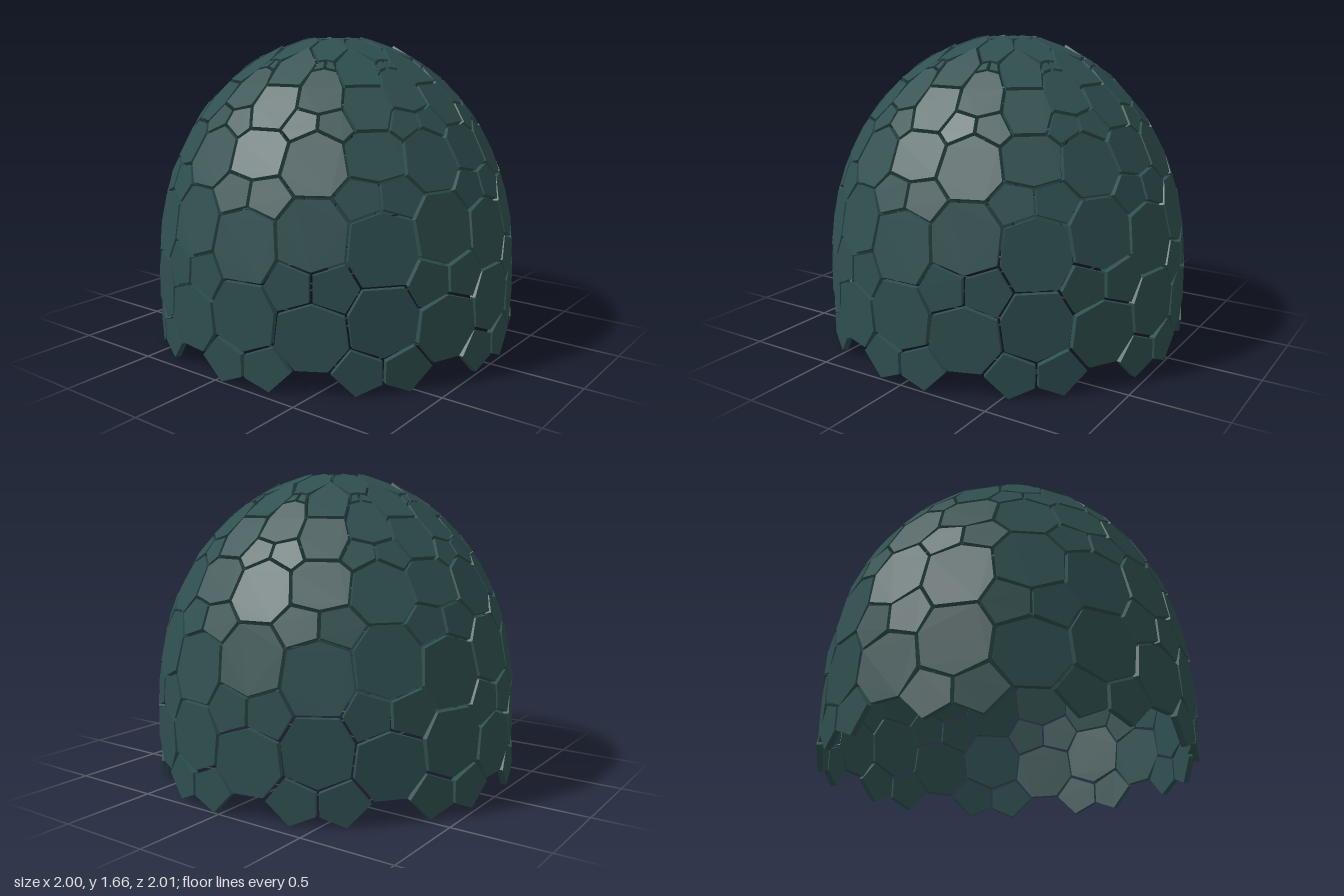
import * as THREE from 'three';

const SECTORS = 9;         // the tiling repeats every 40 degrees
const THICKNESS = 0.03;
const INSET = 0.009;       // half the gap between neighbouring panels
const BASE = 0.45, RISE = 1.23;

// Dome profile: straight wall below, elliptical crown above
const radiusAt = y => y < BASE ? 1 : Math.sqrt(Math.max(0, 1 - ((y - BASE) / RISE) ** 2));
const heightAt = r => BASE + RISE * Math.sqrt(1 - r * r);

// Degrees around the dome (0 = +x) and height to a point on the shell
function onDome([deg, y]) {
  const a = THREE.MathUtils.degToRad(deg), r = radiusAt(y);
  return new THREE.Vector3(r * Math.cos(a), y, r * Math.sin(a));
}

// Shrinks a counter-clockwise outline evenly by d
function inset(pts, d) {
  const n = pts.length;
  const inward = (a, b) => new THREE.Vector2(a.y - b.y, b.x - a.x).normalize();
  return pts.map((p, i) => {
    const n1 = inward(pts[(i + n - 1) % n], p), n2 = inward(p, pts[(i + 1) % n]);
    const k = d / (1 + n1.dot(n2));
    return p.clone().add(n1.add(n2).multiplyScalar(k));
  });
}

// A flat slab fitted to an outline on the dome, thickened inwards
function panelGeometry(outline) {
  const pts = outline.map(onDome);
  const centre = new THREE.Vector3(), normal = new THREE.Vector3();
  pts.forEach((p, i) => {
    centre.addScaledVector(p, 1 / pts.length);
    normal.add(p.clone().cross(pts[(i + 1) % pts.length]));
  });
  normal.normalize();
  if (normal.dot(centre.clone().setY(Math.max(0, centre.y - BASE))) < 0) normal.negate();
  const e1 = new THREE.Vector3(-centre.z, 0, centre.x);
  if (e1.length() < 0.01) e1.set(1, 0, 0);
  e1.addScaledVector(normal, -e1.dot(normal)).normalize();
  const e2 = normal.clone().cross(e1);
  let flat = pts.map(p => {
    const d = p.clone().sub(centre);
    return new THREE.Vector2(d.dot(e1), d.dot(e2));
  });
  if (THREE.ShapeUtils.area(flat) < 0) flat.reverse();
  const geo = new THREE.ExtrudeGeometry(new THREE.Shape(inset(flat, INSET)),
    { depth: THICKNESS, bevelEnabled: false });
  geo.translate(0, 0, -THICKNESS);
  return geo.applyMatrix4(new THREE.Matrix4().makeBasis(e1, e2, normal).setPosition(centre));
}

// Reflects an outline about an axis angle
const reflect = (half, axis) => half.map(([u, y]) => [2 * axis - u, y]).reverse();
const whole = (half, axis) =>
  [...half, ...reflect(half, axis).filter(([u]) => Math.abs(u - axis) > 0.01)];

// Corners shared by several panels
const TIP = [0, heightAt(0.30)], POINT = [0, heightAt(0.19)], NOTCH = [20, heightAt(0.135)];
const LEAF = [14.3, heightAt(0.44)], PETAL_END = [20, heightAt(0.425)];
const SMALL = [12.3, heightAt(0.505)], SLIT_END = [20, heightAt(0.485)];

// Half outlines of the large panels centred on angle 0
const mainPanels = {
  wallPanelA: [[0, 0.185], [9.3, 0.25], [10.5, 0.415], [6.2, 0.54]],
  lowerPanelA: [[6.2, 0.54], [10.5, 0.665], [9.4, 0.845], [0, 0.893]],
  middlePanelA: [[0, 1.018], [9.1, 1.045], [10.6, 1.195], [6.2, 1.245]],
  upperPanelA: [[6.2, 1.245], [10.6, 1.345], [9.5, 1.443]],
  crownLeaf: [[9.5, 1.443], SMALL, LEAF, TIP],
};
// Half outlines of the large panels centred on angle 20
const betweenPanels = {
  wallPanelB: [[15.2, 0.125], [9.3, 0.25], [10.5, 0.415], [20, 0.47]],
  lowerPanelB: [[20, 0.61], [10.5, 0.665], [9.4, 0.845], [14.6, 0.955]],
  middlePanelB: [[14.6, 0.955], [9.1, 1.045], [10.6, 1.195], [20, 1.25]],
  upperPanelB: [[20, 1.32], [10.6, 1.345], [9.5, 1.443], SMALL, SLIT_END],
  crownPetal: [PETAL_END, LEAF, TIP, POINT, NOTCH],
};
// Pentagons that come in mirrored pairs
const pentagons = {
  footPentagon: [[0, 0.185], [0, 0.06], [8, 0], [15.2, 0.125], [9.3, 0.25]],
  lowerPentagon: [[6.2, 0.54], [10.5, 0.415], [20, 0.47], [20, 0.61], [10.5, 0.665]],
  middlePentagon: [[0, 0.893], [9.4, 0.845], [14.6, 0.955], [9.1, 1.045], [0, 1.018]],
  upperPentagon: [[6.2, 1.245], [10.6, 1.195], [20, 1.25], [20, 1.32], [10.6, 1.345]],
  crownPentagon: [SMALL, SLIT_END, PETAL_END, LEAF],
};

export function createModel() {
  const dome = new THREE.Group();
  dome.name = 'panelledDome';
  const slate = new THREE.MeshStandardMaterial({ color: 0x2f4f4f });
  slate.name = 'dark slate';

  // Repeats one panel around the dome
  function ring(name, outline) {
    const group = new THREE.Group();
    group.name = name + 'Ring';
    const geo = panelGeometry(outline);
    for (let i = 0; i < SECTORS; i++) {
      const mesh = new THREE.Mesh(geo, slate);
      mesh.name = name;
      mesh.rotation.y = i * 2 * Math.PI / SECTORS;
      group.add(mesh);
    }
    dome.add(group);
  }

  for (const [name, half] of Object.entries(mainPanels)) ring(name, whole(half, 0));
  for (const [name, half] of Object.entries(betweenPanels)) ring(name, whole(half, 20));
  for (const [name, outline] of Object.entries(pentagons)) {
    ring(name + 'Left', outline);
    ring(name + 'Right', reflect(outline, 0));
  }

  // Nine-pointed star closing the crown
  const star = [];
  for (let i = 0; i < SECTORS; i++) {
    star.push([i * 40, POINT[1]], [i * 40 + 20, NOTCH[1]]);
  }
  const cap = new THREE.Mesh(panelGeometry(star), slate);
  cap.name = 'crownStar';
  dome.add(cap);

  return dome;
}
